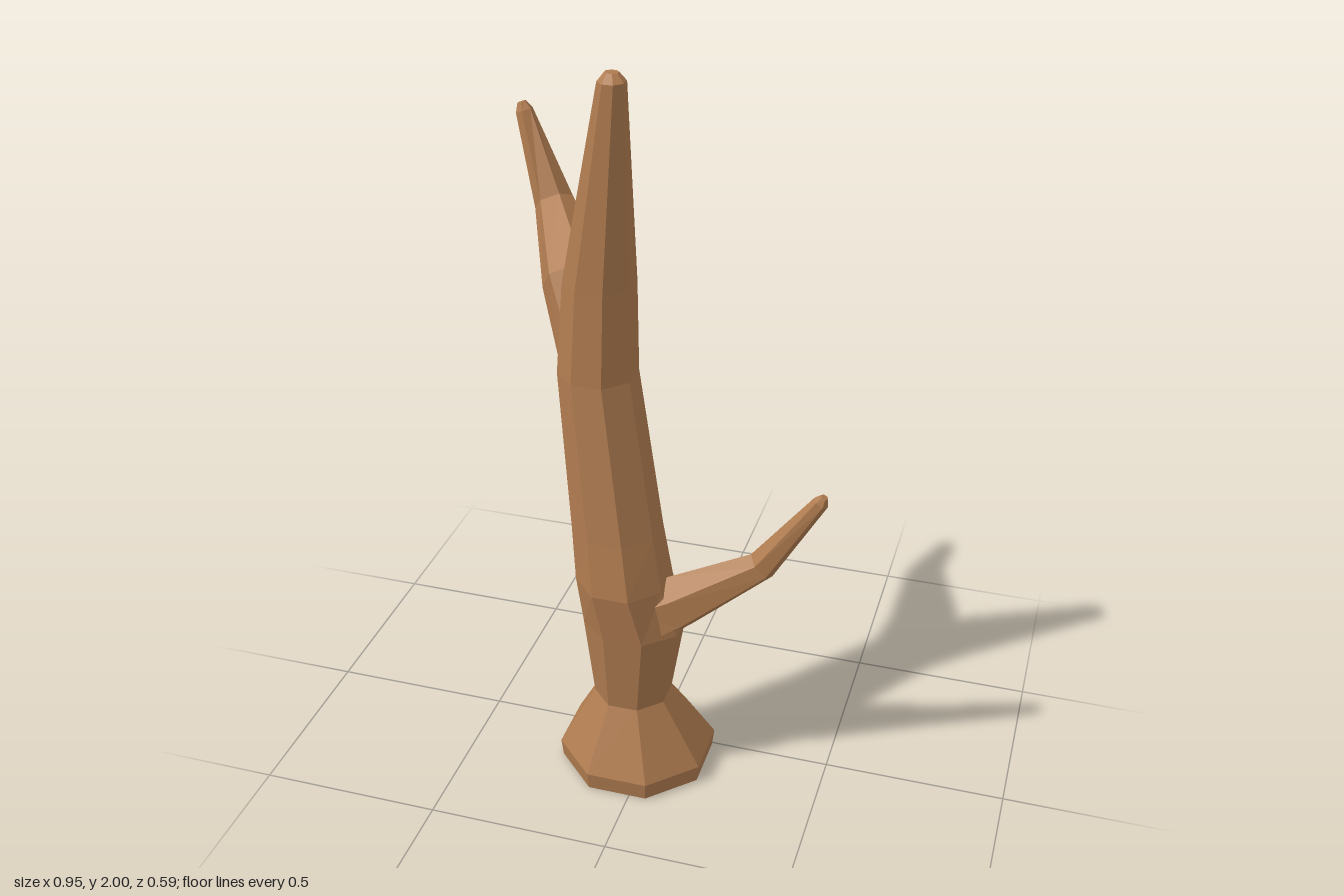
import * as THREE from 'three';

const bark = new THREE.MeshStandardMaterial({ color: 0xb07c50, flatShading: true });

// Skin a list of rings (arrays of Vector3, counter-clockwise seen from the tip) and cap both ends
function skin(name, rings) {
  const n = rings[0].length, pos = [], index = [];
  rings.forEach(r => r.forEach(p => pos.push(p.x, p.y, p.z)));
  for (let i = 0; i < rings.length - 1; i++) {
    for (let j = 0; j < n; j++) {
      const a = i * n + j, b = i * n + (j + 1) % n;
      index.push(a, b, b + n, a, b + n, a + n);
    }
  }
  const last = (rings.length - 1) * n;
  for (let j = 1; j < n - 1; j++) {
    index.push(0, j + 1, j);
    index.push(last, last + j, last + j + 1);
  }
  const geo = new THREE.BufferGeometry();
  geo.setAttribute('position', new THREE.Float32BufferAttribute(pos, 3));
  geo.setIndex(index);
  geo.computeVertexNormals();
  const mesh = new THREE.Mesh(geo, bark);
  mesh.name = name;
  return mesh;
}

// Level eight-sided ring: height, centre x and z, radii
function levelRing([y, cx, cz, rx, rz = rx]) {
  return Array.from({ length: 8 }, (_, j) => {
    const a = (j + 0.5) * Math.PI / 4;
    return new THREE.Vector3(cx + rx * Math.cos(a), y, cz - rz * Math.sin(a));
  });
}

// Six-sided limb whose rings stand square to a bent path of [x, y, z, radius]
function limb(name, path) {
  const pts = path.map(([x, y, z]) => new THREE.Vector3(x, y, z));
  const dir = i => pts[i + 1].clone().sub(pts[i]).normalize();
  const rings = pts.map((p, i) => {
    const t = new THREE.Vector3();
    if (i > 0) t.add(dir(i - 1));
    if (i < pts.length - 1) t.add(dir(i));
    t.normalize();
    const side = new THREE.Vector3(0, 1, 0).cross(t).normalize();
    const up = t.clone().cross(side);
    return Array.from({ length: 6 }, (_, j) => {
      const a = (j + 0.5) * Math.PI / 3;
      return p.clone()
        .addScaledVector(side, path[i][3] * Math.cos(a))
        .addScaledVector(up, path[i][3] * Math.sin(a));
    });
  });
  return skin(name, rings);
}

export function createModel() {
  const tree = new THREE.Group();
  tree.name = 'deadTree';

  // Flared foot, swelling at the lower branch, long taper to a blunt tip
  tree.add(skin('trunk', [
    [0, -0.035, 0.088, 0.215],
    [0.05, -0.035, 0.088, 0.221],
    [0.235, -0.042, 0.105, 0.108],
    [0.48, -0.032, 0.118, 0.142, 0.125],
    [0.62, -0.06, 0.12, 0.13, 0.138],
    [0.77, -0.08, 0.112, 0.122],
    [1.2, -0.142, 0.067, 0.106],
    [1.45, -0.135, 0.062, 0.095],
    [1.98, -0.083, 0.1, 0.036],
    [2, -0.085, 0.095, 0.018],
  ].map(levelRing)));

  tree.add(limb('lowerBranch', [
    [-0.02, 0.5, 0.12, 0.1],
    [0.088, 0.56, 0.115, 0.08],
    [0.307, 0.69, 0.071, 0.043],
    [0.458, 0.915, 0.076, 0.021],
    [0.466, 0.932, 0.077, 0.011],
  ]));

  tree.add(limb('upperBranch', [
    [-0.165, 1.24, 0.03, 0.095],
    [-0.24, 1.405, -0.045, 0.09],
    [-0.358, 1.53, -0.225, 0.053],
    [-0.452, 1.755, -0.277, 0.024],
    [-0.46, 1.777, -0.279, 0.012],
  ]));

  return tree;
}
